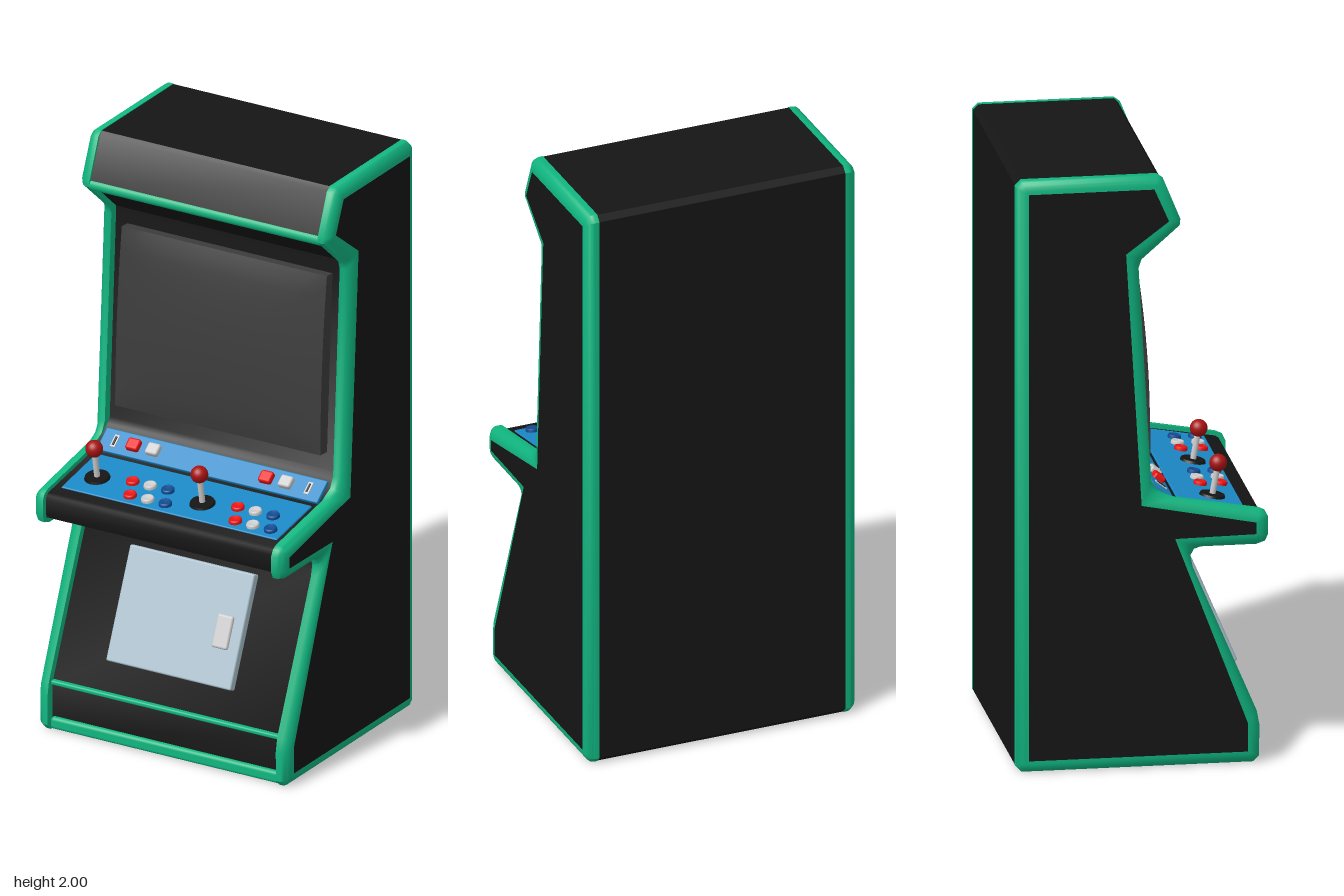
import * as THREE from 'three';
import { toCreasedNormals } from 'three/addons/utils/BufferGeometryUtils.js';
import { RoundedBoxGeometry } from 'three/addons/geometries/RoundedBoxGeometry.js';

const mat = (color, side = THREE.FrontSide) => new THREE.MeshStandardMaterial({ color, side });
const BLACK = mat(0x151515), PANEL = mat(0x151515, THREE.DoubleSide);
const GREEN = mat(0x10b680), GREEN_FLAT = mat(0x10b680, THREE.DoubleSide);
const BLUE = mat(0x1b88c6), SCREEN = mat(0x3c3c3c), DOOR = mat(0xa9bfcb), GREY = mat(0xcccccc);
const RED = mat(0xe81414), NAVY = mat(0x0f4a90), BALL = mat(0xa81212);

// Side outline: [outer z, outer y, inner z, inner y], edge of the trim and edge of the side panel
const OUTLINE = [
  [-0.395, 0, -0.375, 0.042], [0.365, 0, 0.344, 0.042], [0.385, 0.02, 0.344, 0.042],
  [0.387, 0.12, 0.344, 0.138], [0.378, 0.17, 0.344, 0.138],
  [0.168, 0.665, 0.105, 0.772], [0.16, 0.705, 0.105, 0.772], [0.172, 0.727, 0.105, 0.772],
  [0.195, 0.735, 0.105, 0.772], [0.375, 0.735, 0.372, 0.776], [0.405, 0.745, 0.372, 0.776],
  [0.415, 0.768, 0.372, 0.776], [0.415, 0.825, 0.372, 0.815], [0.405, 0.845, 0.372, 0.815],
  [0.385, 0.855, 0.372, 0.815], [0.1, 0.905, -0.005, 0.889], [0.05, 0.93, -0.005, 0.889],
  [0.031, 0.965, -0.005, 0.889], [-0.01, 1.685, -0.056, 1.741], [0, 1.715, -0.056, 1.741],
  [0.125, 1.825, 0.085, 1.847], [0.127, 1.845, 0.085, 1.847], [0.07, 1.985, 0.037, 1.957],
  [0.05, 2, 0.037, 1.957], [-0.395, 2, -0.375, 1.957], [-0.415, 1.98, -0.375, 1.957],
  [-0.415, 0.02, -0.375, 0.042],
];

// Central cabinet section (z, y) between the two sides
const BODY = [
  [-0.395, 0.002], [0.355, 0.002], [0.355, 0.16], [0.14, 0.67], [0.14, 0.752], [0.38, 0.752],
  [0.392, 0.758], [0.397, 0.775], [0.397, 0.82], [0.392, 0.835], [0.38, 0.842], [0.1, 0.889],
  [0.015, 0.95], [0, 0.97], [-0.04, 1.7], [0.09, 1.815], [0.12, 1.84], [0.062, 1.985],
  [0.05, 1.998], [-0.395, 1.998], [-0.414, 1.98], [-0.414, 0.02],
];

const shapeOf = (pts) => new THREE.Shape(pts.map(([z, y]) => new THREE.Vector2(z, y)));

function add(parent, name, geometry, material, x = 0, y = 0, z = 0, rx = 0) {
  const m = new THREE.Mesh(geometry, material);
  m.name = name;
  m.position.set(x, y, z);
  m.rotation.x = rx;
  parent.add(m);
  return m;
}

function subgroup(parent, name, x, y, z, rx = 0) {
  const g = new THREE.Group();
  g.name = name;
  g.position.set(x, y, z);
  g.rotation.x = rx;
  parent.add(g);
  return g;
}

const rounded = (w, h, d, r) => new RoundedBoxGeometry(w, h, d, 3, r);

// Quarter-round trim swept from the outer outline to the inner outline
function trimGeometry(s) {
  const n = OUTLINE.length, steps = 6, pos = [], idx = [];
  for (let j = -1; j <= steps; j++) {
    const a = (Math.max(j, 0) / steps) * Math.PI / 2;
    const t = 1 - Math.cos(a);
    const x = j < 0 ? 0.434 : 0.446 + 0.032 * Math.sin(a);
    for (const [oz, oy, iz, iy] of OUTLINE) pos.push(s * x, oy + (iy - oy) * t, oz + (iz - oz) * t);
  }
  for (let j = 0; j <= steps; j++) {
    for (let i = 0; i < n; i++) {
      const a = j * n + i, b = j * n + (i + 1) % n, c = b + n, d = a + n;
      if (s < 0) idx.push(a, b, c, a, c, d);
      else idx.push(a, c, b, a, d, c);
    }
  }
  const g = new THREE.BufferGeometry();
  g.setAttribute('position', new THREE.Float32BufferAttribute(pos, 3));
  g.setIndex(idx);
  return toCreasedNormals(g, 0.7);
}

// Domed push button standing on a surface
function buttonGeometry(r) {
  const pts = [[r, -0.004], [r, 0.006], [r * 0.9, 0.011], [r * 0.75, 0.011], [r * 0.65, 0.009], [0.0001, 0.007]];
  return new THREE.LatheGeometry(pts.map(([x, y]) => new THREE.Vector2(x, y)), 24);
}

// Slightly bulging picture tube
function screenGeometry(w, h, d) {
  const g = new THREE.BoxGeometry(w, h, d, 16, 16, 1);
  const p = g.attributes.position;
  for (let i = 0; i < p.count; i++) {
    if (p.getZ(i) < 0) continue;
    const u = p.getX(i) / (w / 2), v = p.getY(i) / (h / 2);
    p.setZ(i, d / 2 + 0.024 * (1 - v * v) * (1 - 0.6 * u * u) - 0.008 * Math.max(u ** 8, v ** 8));
  }
  g.computeVertexNormals();
  return g;
}

function joystick(parent, x, z) {
  const stick = subgroup(parent, 'joystick', x, 0.009, z);
  add(stick, 'joystickBase', new THREE.CylinderGeometry(0.04, 0.043, 0.008, 32), BLACK, 0, 0.004, 0);
  add(stick, 'joystickShaft', new THREE.CylinderGeometry(0.01, 0.01, 0.1, 16), GREY, 0, 0.05, 0);
  add(stick, 'joystickBall', new THREE.SphereGeometry(0.029, 24, 16), BALL, 0, 0.112, 0);
}

export function createModel() {
  const model = new THREE.Group();
  model.name = 'arcadeCabinet';

  // Cabinet body
  const body = new THREE.ExtrudeGeometry(shapeOf(BODY), { depth: 0.87, bevelEnabled: false });
  body.translate(0, 0, -0.435).rotateY(-Math.PI / 2);
  add(model, 'cabinetBody', toCreasedNormals(body, 0.7), BLACK);

  // Side panels with rounded trim
  const inner = shapeOf(OUTLINE.map((p) => [p[2], p[3]]).filter((p, i, a) => !i || p[0] !== a[i - 1][0] || p[1] !== a[i - 1][1]).slice(0, -1));
  const outer = shapeOf(OUTLINE);
  for (const s of [1, -1]) {
    const side = subgroup(model, s > 0 ? 'leftSide' : 'rightSide', 0, 0, 0);
    add(side, 'edgeTrim', trimGeometry(s), GREEN);
    add(side, 'trimInnerFace', new THREE.ShapeGeometry(outer).rotateY(-Math.PI / 2), GREEN_FLAT, s * 0.434);
    add(side, 'sidePanel', new THREE.ShapeGeometry(inner).rotateY(-Math.PI / 2), PANEL, s * 0.478);
  }

  // Cross trims under the marquee and around the kick plate
  const bar = add(model, 'marqueeTrim', new THREE.CylinderGeometry(0.02, 0.02, 0.87, 20), GREEN, 0, 1.83, 0.106);
  bar.rotation.z = Math.PI / 2;
  add(model, 'kickPlateTopTrim', rounded(0.87, 0.016, 0.03, 0.006), GREEN, 0, 0.164, 0.352);
  add(model, 'kickPlateBottomTrim', rounded(0.87, 0.042, 0.03, 0.012), GREEN, 0, 0.023, 0.356);

  // Screen
  add(model, 'screen', screenGeometry(0.78, 0.62, 0.06), SCREEN, 0, 1.34, -0.004, -0.066);

  // Main control panel
  const deck = subgroup(model, 'controlPanel', 0, 0.863, 0.231, 0.175);
  add(deck, 'controlPlate', rounded(0.82, 0.016, 0.222, 0.004), BLUE, 0, 0.001, 0);
  const button = buttonGeometry(0.022);
  for (const x0 of [-0.328, 0.072]) {
    joystick(deck, x0, 0.018);
    [RED, GREY, NAVY].forEach((m, i) => {
      add(deck, 'backRowButton', button, m, x0 + 0.122 + i * 0.067, 0.01, -0.003);
      add(deck, 'frontRowButton', button, m, x0 + 0.157 + i * 0.067, 0.01, 0.071);
    });
  }

  // Upper control strip with start buttons and small end plates
  const strip = subgroup(model, 'startPanel', 0, 0.918, 0.07, 0.66);
  add(strip, 'startPlate', rounded(0.84, 0.016, 0.086, 0.004), BLUE);
  for (const [x, m] of [[-0.295, RED], [-0.22, GREY], [0.21, RED], [0.285, GREY]]) {
    add(strip, 'startButton', rounded(0.046, 0.03, 0.042, 0.008), m, x, 0.012, 0);
  }
  for (const x of [-0.368, 0.368]) {
    add(strip, 'endPlate', new THREE.BoxGeometry(0.018, 0.006, 0.045), GREY, x, 0.008, 0);
    add(strip, 'endSlot', new THREE.BoxGeometry(0.007, 0.006, 0.032), BLACK, x, 0.01, 0);
  }

  // Coin door
  const door = subgroup(model, 'coinDoor', 0, 0.452, 0.258, -0.404);
  add(door, 'doorPlate', rounded(0.474, 0.386, 0.032, 0.006), DOOR);
  add(door, 'doorHandle', rounded(0.06, 0.112, 0.026, 0.008), GREY, 0.168, -0.012, 0.014);

  return model;
}
